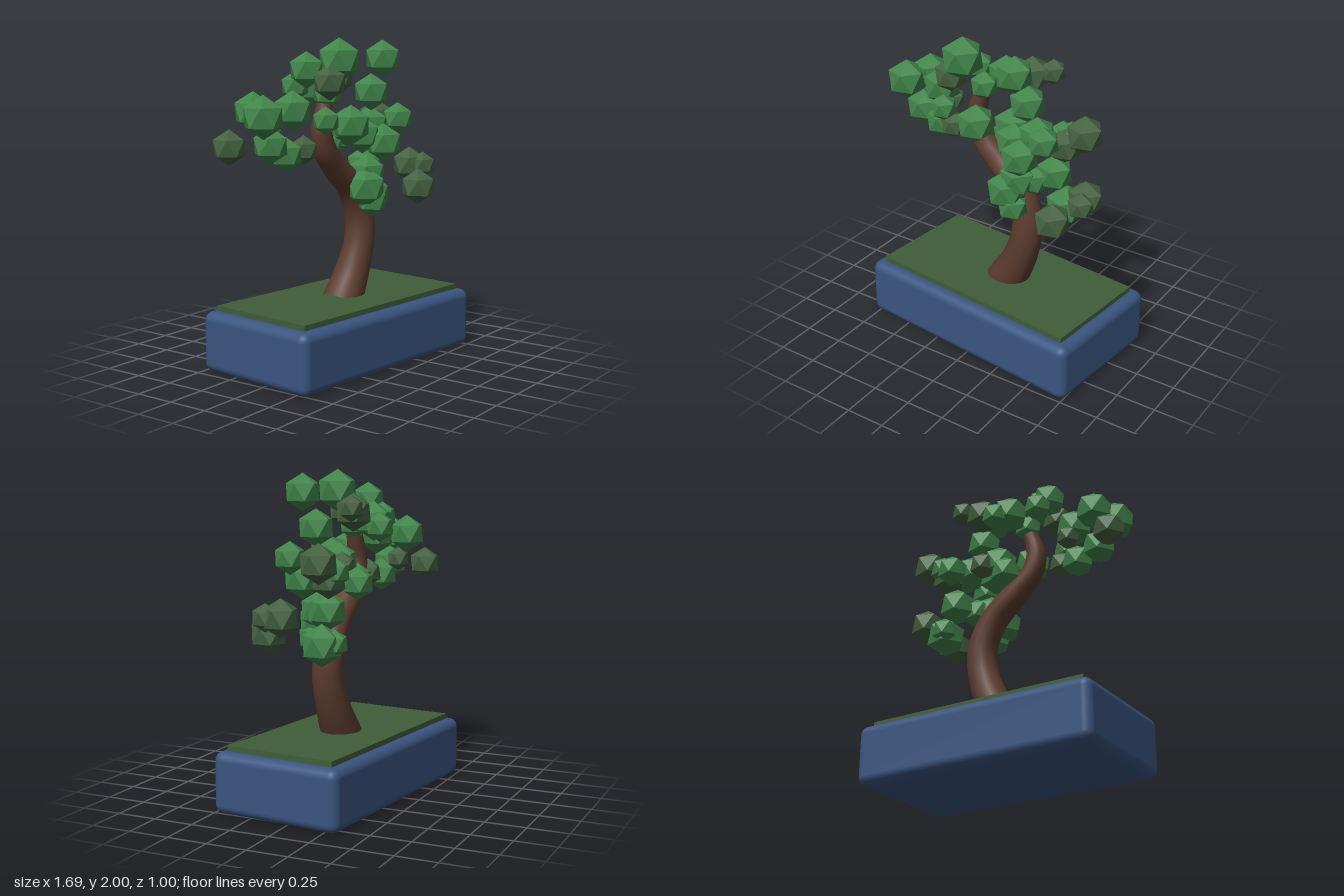
import * as THREE from 'three';
import { RoundedBoxGeometry } from 'three/addons/geometries/RoundedBoxGeometry.js';

const material = (name, color) => {
  const m = new THREE.MeshStandardMaterial({ color });
  m.name = name;
  return m;
};

// Tube whose radius follows a list of radii spaced evenly along the curve
function taperedTube(points, radii, segments, sides) {
  const curve = new THREE.CatmullRomCurve3(points.map((p) => new THREE.Vector3(...p)));
  const geometry = new THREE.TubeGeometry(curve, segments, 1, sides);
  const pos = geometry.attributes.position;
  const v = new THREE.Vector3();
  for (let i = 0; i <= segments; i++) {
    const centre = curve.getPointAt(i / segments);
    const f = (i / segments) * (radii.length - 1);
    const k = Math.min(Math.floor(f), radii.length - 2);
    const r = THREE.MathUtils.lerp(radii[k], radii[k + 1], f - k);
    for (let j = 0; j <= sides; j++) {
      const n = i * (sides + 1) + j;
      v.fromBufferAttribute(pos, n).sub(centre).multiplyScalar(r).add(centre);
      pos.setXYZ(n, v.x, v.y, v.z);
    }
  }
  return geometry;
}

export function createModel() {
  const model = new THREE.Group();
  model.name = 'bonsaiTree';
  const potBlue = material('potBlue', 0x3a5580);
  const mossGreen = material('mossGreen', 0x3f5d38);
  const barkBrown = material('barkBrown', 0x5e3d2f);
  const leafGreen = material('leafGreen', 0x41854a);
  const leafDark = material('leafDark', 0x446240);

  const add = (parent, name, geometry, mat, x = 0, y = 0, z = 0) => {
    const mesh = new THREE.Mesh(geometry, mat);
    mesh.name = name;
    mesh.position.set(x, y, z);
    parent.add(mesh);
    return mesh;
  };

  // Planter, turned slightly
  const planter = new THREE.Group();
  planter.name = 'planter';
  planter.position.x = 0.03;
  planter.rotation.y = -0.105;
  model.add(planter);
  add(planter, 'pot', new RoundedBoxGeometry(1.57, 0.37, 0.85, 3, 0.055), potBlue, 0, 0.187, 0);
  add(planter, 'moss', new THREE.BoxGeometry(1.43, 0.05, 0.715), mossGreen, 0, 0.38, 0);

  // Curved trunk
  add(model, 'trunk', taperedTube(
    [[0.04, 0.36, 0], [0.14, 0.55, 0.01], [0.2, 0.74, 0.02], [0.2, 0.9, 0.015], [0.12, 1.07, 0.01],
      [-0.03, 1.21, 0], [-0.14, 1.33, 0], [-0.175, 1.45, 0], [-0.14, 1.6, 0]],
    [0.13, 0.112, 0.099, 0.094, 0.09, 0.085, 0.077, 0.065, 0.05], 48, 16), barkBrown);

  // Faceted leaf clump with one corner pointing up
  const clump = new THREE.IcosahedronGeometry(1, 0);
  clump.rotateX(-Math.atan((1 + Math.sqrt(5)) / 2));
  clump.rotateY(0.25);

  // Each clump: x, y, z, radius
  const foliage = {
    crown: {
      light: [[-0.18, 1.867, 0.135, 0.133], [-0.28, 1.81, -0.03, 0.11], [-0.25, 1.71, -0.14, 0.09],
        [-0.07, 1.69, -0.16, 0.12], [0, 1.66, -0.23, 0.09], [-0.12, 1.66, 0, 0.09],
        [0.21, 1.868, 0.18, 0.115], [0.235, 1.66, 0.08, 0.115]],
      dark: [[-0.27, 1.74, 0.13, 0.105], [0.14, 1.75, -0.12, 0.115], [0.26, 1.78, -0.16, 0.08]],
    },
    rightBough: {
      light: [[-0.71, 1.56, -0.01, 0.128], [-0.63, 1.58, -0.15, 0.12], [-0.61, 1.39, -0.04, 0.11],
        [-0.44, 1.58, -0.01, 0.12], [-0.32, 1.52, 0.14, 0.085], [-0.47, 1.325, -0.04, 0.105]],
      dark: [[-0.75, 1.38, -0.23, 0.105], [-0.35, 1.345, 0, 0.088], [-0.46, 1.43, -0.16, 0.075]],
    },
    leftBough: {
      light: [[-0.08, 1.48, 0.15, 0.122], [0.08, 1.45, 0, 0.12], [0, 1.34, -0.08, 0.1],
        [0.14, 1.4, 0.08, 0.115], [0.28, 1.45, 0.04, 0.12], [0.24, 1.35, 0.17, 0.12],
        [0.4, 1.49, 0.17, 0.1], [0.3, 1.35, -0.22, 0.1], [0.41, 1.42, -0.13, 0.09]],
      dark: [[0.53, 1.475, -0.08, 0.12], [0.4, 1.37, -0.08, 0.11], [0.17, 1.43, -0.06, 0.09]],
    },
    lowerBough: {
      light: [[0.12, 1.08, 0.12, 0.13], [0.18, 1.16, 0.09, 0.12], [0.17, 0.99, 0.13, 0.1],
        [0.35, 1.185, -0.05, 0.12], [0.25, 1.15, 0.03, 0.1], [0.43, 0.99, -0.05, 0.128],
        [0.4, 1.0, -0.12, 0.085]],
      dark: [[0.65, 1.17, 0.1, 0.115], [0.67, 1.17, 0.19, 0.085], [0.52, 1.05, 0.25, 0.115]],
    },
  };
  for (const [name, tones] of Object.entries(foliage)) {
    const bough = new THREE.Group();
    bough.name = name;
    model.add(bough);
    for (const [tone, clumps] of Object.entries(tones)) {
      for (const [x, y, z, r] of clumps) {
        const mat = tone === 'light' ? leafGreen : leafDark;
        add(bough, 'leafClump', clump, mat, x, y, z).scale.setScalar(r);
      }
    }
  }
  return model;
}
